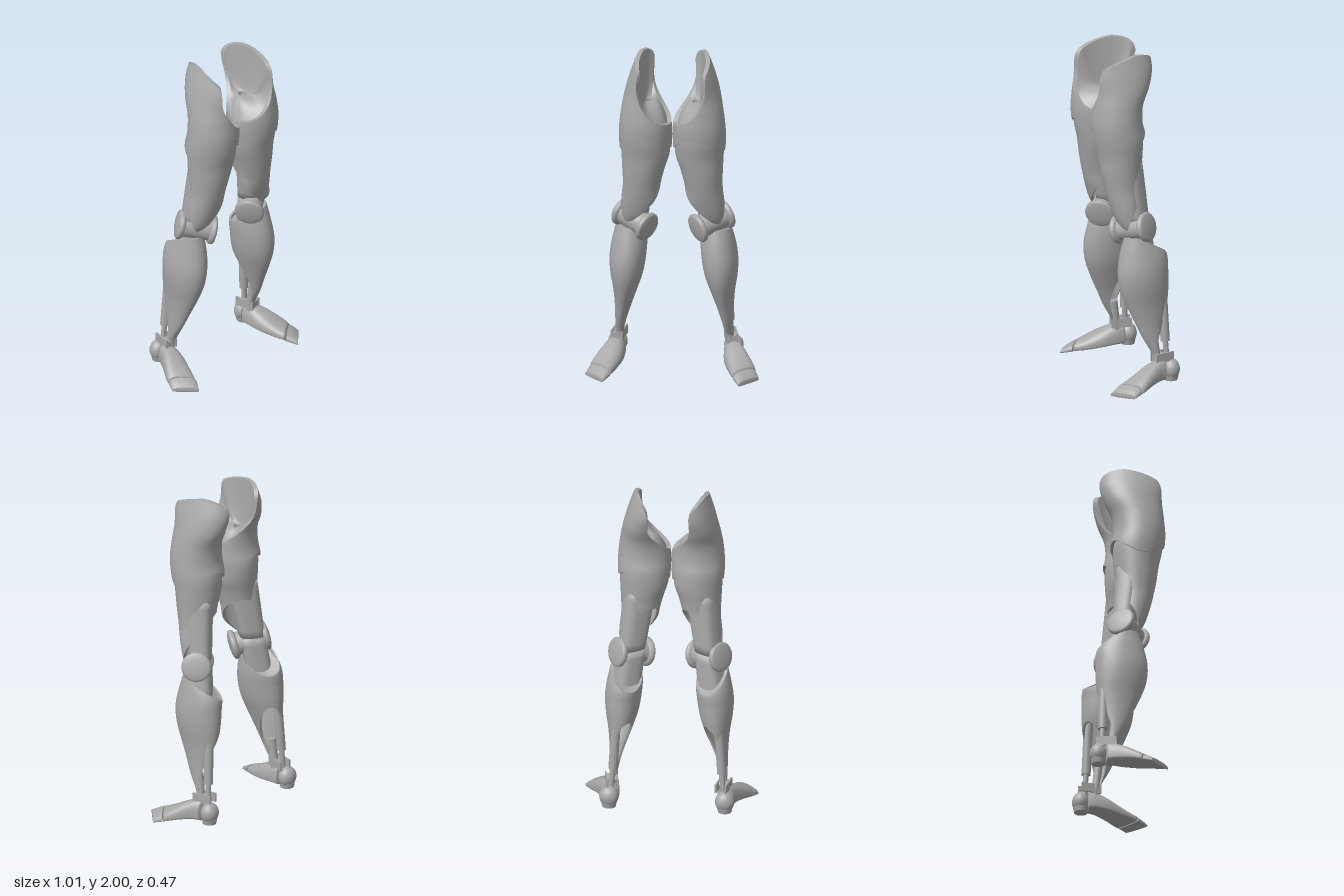
import * as THREE from 'three';

const grey = new THREE.MeshStandardMaterial({ color: 0xa8a8a8, side: THREE.DoubleSide });
grey.name = 'plain grey';

const SEG = 64;
const V = (x, y, z) => new THREE.Vector3(x, y, z);

// Smooth interpolation of table rows [key, ...values]
function sample(rows, k) {
  k = THREE.MathUtils.clamp(k, rows[0][0], rows[rows.length - 1][0]);
  let i = 0;
  while (i < rows.length - 2 && k > rows[i + 1][0]) i++;
  const a = rows[i], b = rows[i + 1], h = b[0] - a[0], t = (k - a[0]) / h;
  const p = rows[Math.max(i - 1, 0)], n = rows[Math.min(i + 2, rows.length - 1)];
  return a.slice(1).map((va, j) => {
    const vb = b[j + 1];
    const ma = (vb - p[j + 1]) / (b[0] - p[0]) * h, mb = (n[j + 1] - va) / (n[0] - a[0]) * h;
    const t2 = t * t, t3 = t2 * t;
    return (2 * t3 - 3 * t2 + 1) * va + (t3 - 2 * t2 + t) * ma + (3 * t2 - 2 * t3) * vb + (t3 - t2) * mb;
  });
}

// Surface closed around u; point(u, v) with u, v in 0..1
function grid(point, rows, cols = SEG) {
  const pos = [], idx = [];
  for (let j = 0; j <= rows; j++)
    for (let i = 0; i < cols; i++) pos.push(...point(i / cols, j / rows).toArray());
  for (let j = 0; j < rows; j++)
    for (let i = 0; i < cols; i++) {
      const a = j * cols + i, b = j * cols + (i + 1) % cols;
      idx.push(a, a + cols, b, b, a + cols, b + cols);
    }
  const g = new THREE.BufferGeometry();
  g.setAttribute('position', new THREE.Float32BufferAttribute(pos, 3));
  g.setIndex(idx);
  g.computeVertexNormals();
  return g;
}

// Point on an oval section table [y, x0, x1, z0, z1], inset by d
function oval(rows, angle, y, d = 0) {
  const [x0, x1, z0, z1] = sample(rows, y);
  return V((x0 + x1) / 2 + ((x1 - x0) / 2 - d) * Math.cos(angle), y,
    (z0 + z1) / 2 + ((z1 - z0) / 2 - d) * Math.sin(angle));
}

const HIP = [[1.38, 0.01, 0.302, -0.075, 0.195], [1.5, 0.002, 0.312, -0.088, 0.225], [1.6, 0.004, 0.308, -0.068, 0.235],
  [1.7, 0.015, 0.295, -0.075, 0.228], [1.8, 0.025, 0.275, -0.118, 0.222], [1.9, 0.005, 0.247, -0.145, 0.245],
  [2, -0.02, 0.212, -0.14, 0.25]];
const RIM = [[-180, 1.6], [-140, 1.67], [-115, 1.74], [-101, 1.82], [-90, 1.92], [-65, 1.975], [-25, 2], [0, 1.985],
  [30, 1.955], [47, 1.925], [65, 1.82], [90, 1.71], [130, 1.63], [180, 1.6]];
const THIGH = [[0.94, 0.17, 0.29, -0.01, 0.06], [1, 0.12, 0.3, -0.03, 0.1], [1.1, 0.077, 0.3, -0.045, 0.135],
  [1.2, 0.07, 0.29, -0.052, 0.16], [1.3, 0.047, 0.293, -0.057, 0.18], [1.4, 0.017, 0.298, -0.068, 0.195],
  [1.5, 0.013, 0.302, -0.07, 0.215], [1.6, 0.02, 0.29, -0.05, 0.22]];
const CALF = [[0.16, 0.29, 0.35, -0.125, -0.085], [0.2, 0.285, 0.345, -0.125, -0.075], [0.3, 0.272, 0.345, -0.135, -0.02],
  [0.4, 0.245, 0.347, -0.158, 0.025], [0.5, 0.212, 0.355, -0.18, 0.07], [0.6, 0.18, 0.37, -0.19, 0.105],
  [0.7, 0.163, 0.375, -0.19, 0.115], [0.8, 0.156, 0.362, -0.182, 0.1], [0.92, 0.17, 0.335, -0.11, 0.065]];

const FACING = 0.99; // angle of the turned-out knee front, from +x towards +z
const TURN = Math.PI / 2 - FACING;
const backness = a => (1 - Math.cos(a - FACING)) / 2;
const ang = u => u * Math.PI * 2 - Math.PI;

// Thin-walled shell: outside, inside and both edges
function shell(add, name, rows, bottom, top, wall) {
  const at = (u, v, d) => oval(rows, ang(u), THREE.MathUtils.lerp(bottom(ang(u)), top(ang(u)), v), d);
  add(name, grid((u, v) => at(u, v, 0), 32));
  add(name + 'Inside', grid((u, v) => at(u, 1 - v, wall), 20));
  add(name + 'TopEdge', grid((u, v) => at(u, 1, wall * v), 1));
  add(name + 'BottomEdge', grid((u, v) => at(u, 0, wall * (1 - v)), 1));
}

function buildLeg(add) {
  // Hip shell with a slanted open top and a waved lower seam
  const hipTop = a => sample(RIM, a * 180 / Math.PI)[0];
  const seam = a => 1.488 - 0.052 * Math.cos(2 * (a - 0.15));
  const rim = (a, d) => oval(HIP, a, hipTop(a), d);
  add('hipShell', grid((u, v) => oval(HIP, ang(u), THREE.MathUtils.lerp(seam(ang(u)), hipTop(ang(u)), v)), 32));
  add('hipRim', grid((u, v) => rim(ang(u), 0.026 * v), 1));
  add('hipSeamEdge', grid((u, v) => oval(HIP, ang(u), seam(ang(u)), 0.02 * (1 - v)), 1));

  // Hip socket dished towards a small round pit
  const pit = V(0.135, 1.71, 0.02);
  add('hipSocket', grid((u, v) => {
    const p = rim(ang(u), 0.026), y = THREE.MathUtils.lerp(p.y, pit.y, 1 - (1 - v) ** 2.2);
    const end = V(pit.x + 0.022 * Math.cos(ang(u)), 0, pit.z + 0.022 * Math.sin(ang(u)));
    return p.lerp(end, v).setY(y);
  }, 20));
  add('socketPit', grid((u, v) => V(pit.x + 0.022 * (1 - v * v) * Math.cos(ang(u)), pit.y - 0.06 * v,
    pit.z + 0.022 * (1 - v * v) * Math.sin(ang(u))), 4, 24));

  // Thigh and calf shells, cut away behind the knee and ankle
  shell(add, 'thigh', THIGH, a => 0.95 + 0.31 * backness(a) ** 0.8, () => 1.58, 0.015);
  const calfTop = a => 0.915 - 0.14 * backness(a) ** 1.5;
  shell(add, 'calf', CALF, a => 0.17 + 0.4 * backness(a) ** 1.7, calfTop, 0.014);
  add('calfTopCap', grid((u, v) => {
    const p = oval(CALF, ang(u), calfTop(ang(u)) - 0.02, 0.014);
    return p.lerp(V(0.26, 0.83, -0.035), v);
  }, 8));

  // Inner knee links, split at the joint
  const link = (name, a, b, r0, r1) => add(name, grid((u, v) => {
    const t = Math.min(Math.max((v - 0.1) / 0.8, 0), 1), r = v === 0 || v === 1 ? 0 : THREE.MathUtils.lerp(r0, r1, t);
    const c = Math.cos(ang(u)), s = Math.sin(ang(u));
    const side = r * Math.sign(c) * Math.abs(c) ** 0.7, fore = r * 0.85 * Math.sign(s) * Math.abs(s) ** 0.7;
    return a.clone().lerp(b, t).add(V(side * Math.cos(TURN) + fore * Math.sin(TURN), 0,
      fore * Math.cos(TURN) - side * Math.sin(TURN)));
  }, 10, 32));
  link('lowerKneeLink', V(0.262, 0.66, -0.055), V(0.222, 0.985, -0.013), 0.08, 0.076);
  link('upperKneeLink', V(0.222, 0.995, -0.012), V(0.18, 1.36, 0.035), 0.075, 0.092);

  // Knee axle and dished side discs
  const outer = V(0.303, 0.978, -0.05), inner = V(0.146, 0.93, 0.068);
  const disc = [[0, -0.03], [0.056, -0.03], [0.078, -0.022], [0.087, -0.012], [0.087, 0.002], [0.081, 0.01],
    [0.075, 0.011], [0.068, 0.014], [0.04, 0.019], [0, 0.02]].map(p => new THREE.Vector2(...p));
  const along = (name, geo, at, dir) => add(name, geo.applyQuaternion(
    new THREE.Quaternion().setFromUnitVectors(V(0, 1, 0), dir.clone().normalize())).translate(at.x, at.y, at.z));
  const axis = outer.clone().sub(inner);
  along('outerKneeDisc', new THREE.LatheGeometry(disc, 40), outer, axis);
  along('innerKneeDisc', new THREE.LatheGeometry(disc, 40), inner, axis.clone().negate());
  along('kneeAxle', new THREE.CylinderGeometry(0.068, 0.068, axis.length(), 32), outer.clone().lerp(inner, 0.5), axis);

  // Heel tendon rod and ankle post
  const rod = (name, a, b, r) => along(name, new THREE.CylinderGeometry(r, r, a.distanceTo(b), 20),
    a.clone().lerp(b, 0.5), b.clone().sub(a));
  rod('tendonSleeve', V(0.318, 0.27, -0.157), V(0.295, 0.62, -0.145), 0.027);
  rod('tendonRod', V(0.328, 0.13, -0.165), V(0.318, 0.28, -0.157), 0.016);
  rod('anklePost', V(0.322, 0.1, -0.11), V(0.315, 0.32, -0.085), 0.024);

  // Ankle yoke: front block with two side cheeks
  const block = (name, w, h, d, x, y, z) => add(name,
    new THREE.BoxGeometry(w, h, d).translate(x, 0, z).rotateY(0.2).translate(0.325, y, -0.14));
  block('ankleBlock', 0.054, 0.06, 0.05, 0, 0.165, 0.035);
  for (const s of [-1, 1]) block('ankleCheek', 0.01, 0.055, 0.12, s * 0.03, 0.18, 0.005);
  rod('anklePin', V(0.293, 0.185, -0.128), V(0.357, 0.185, -0.142), 0.016);

  // Heel
  add('heel', new THREE.SphereGeometry(1, 28, 18).scale(0.057, 0.062, 0.05).translate(0.338, 0.1, -0.186));
  add('heelPad', new THREE.CylinderGeometry(0.046, 0.04, 0.03, 28).translate(0.338, 0.05, -0.184));

  // Foot and toe lofts; rows [t, outerX, outerZ, innerX, innerZ, bottom, top]
  const loft = (name, rows, n) => add(name, grid((u, v) => {
    const w = Math.min(Math.max((v - 0.04) / 0.92, 0), 1);
    const [ox, oz, ix, iz, lo, hi] = sample(rows, w);
    const k = v === 0 || v === 1 ? 0 : 1, c = Math.cos(ang(u)) * k, s = Math.sin(ang(u)) * k;
    const f = 0.5 + 0.5 * Math.sign(c) * Math.abs(c) ** 0.8;
    const mid = lo + (hi - lo) * 0.3;
    const y = s > 0 ? mid + (hi - mid) * s ** 0.9 : mid - (mid - lo) * Math.abs(s) ** 0.4;
    return V(ix + (ox - ix) * f, y, iz + (oz - iz) * f);
  }, n, 40));
  loft('foot', [[0, 0.385, -0.14, 0.288, -0.15, 0.045, 0.165], [0.2, 0.402, -0.1, 0.286, -0.1, 0.045, 0.165],
    [0.5, 0.44, -0.035, 0.295, -0.015, 0.035, 0.135], [0.8, 0.475, 0.025, 0.33, 0.085, 0.02, 0.09],
    [1, 0.483, 0.049, 0.359, 0.15, 0.014, 0.067]], 25);
  loft('toePlate', [[0, 0.484, 0.053, 0.358, 0.155, 0.012, 0.064], [0.5, 0.496, 0.08, 0.377, 0.186, 0.006, 0.048],
    [1, 0.506, 0.105, 0.395, 0.216, 0, 0.028]], 25);
}

export function createModel() {
  const model = new THREE.Group();
  model.name = 'mechanicalLegs';
  const left = new THREE.Group(), right = new THREE.Group();
  left.name = 'leftLeg';
  right.name = 'rightLeg';
  model.add(left, right);
  const put = (group, name, geo) => {
    const mesh = new THREE.Mesh(geo, grey);
    mesh.name = name;
    group.add(mesh);
  };
  // Each part is added once and mirrored across x
  buildLeg((name, geo) => {
    put(left, name, geo);
    const m = geo.clone().scale(-1, 1, 1), idx = m.index.array;
    for (let i = 0; i < idx.length; i += 3) [idx[i], idx[i + 1]] = [idx[i + 1], idx[i]];
    const n = m.attributes.normal, src = geo.attributes.normal;
    for (let i = 0; i < n.count; i++) n.setXYZ(i, -src.getX(i), src.getY(i), src.getZ(i));
    put(right, name, m);
  });
  return model;
}
